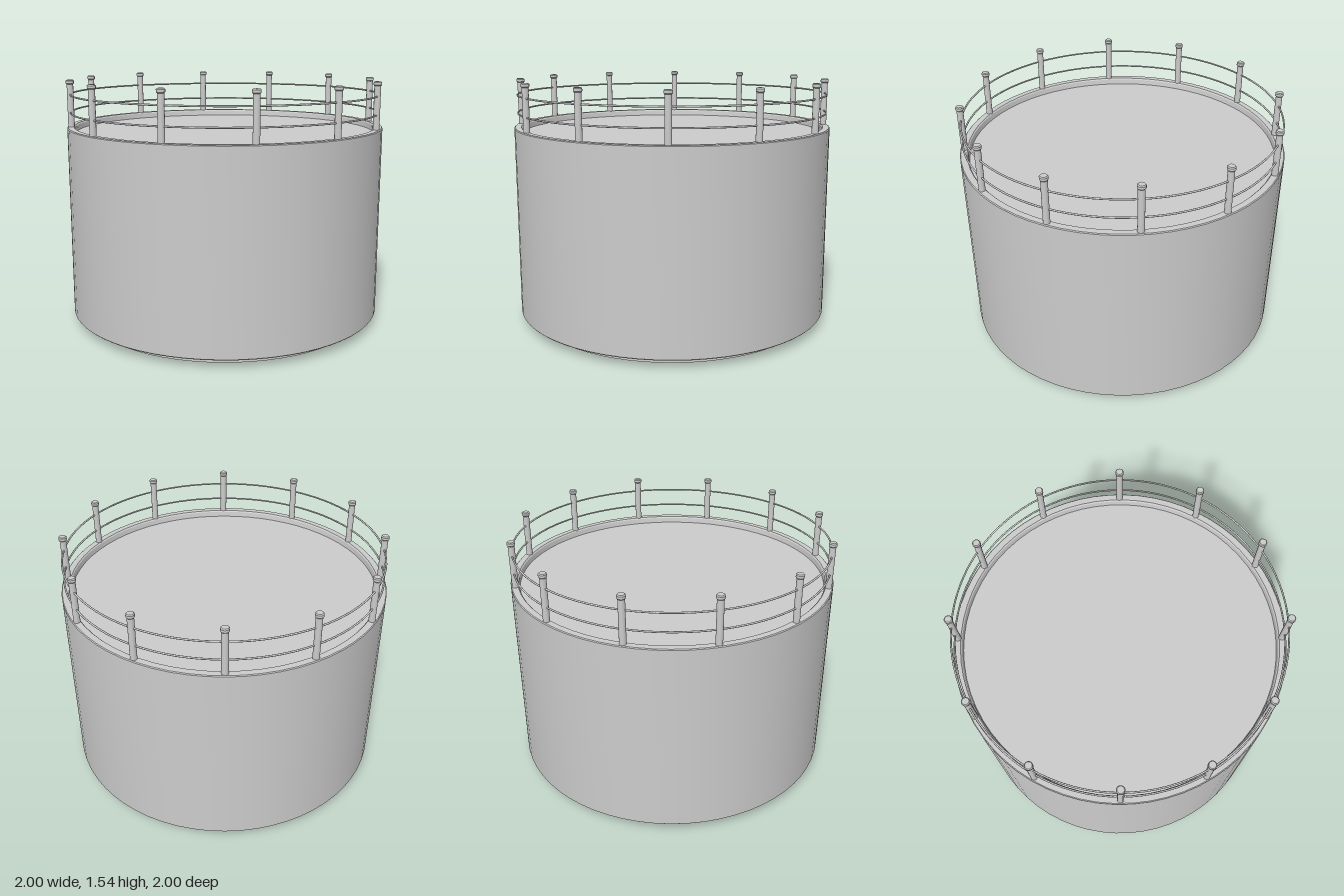
import * as THREE from 'three';
import { toCreasedNormals } from 'three/addons/utils/BufferGeometryUtils.js';

const POSTS = 12, RING = 0.973, RIM_Y = 1.25;

export function createModel() {
  const group = new THREE.Group();
  const material = new THREE.MeshStandardMaterial({ color: 0xcccccc });

  const add = (parent, name, geometry, x = 0, y = 0, z = 0) => {
    const mesh = new THREE.Mesh(geometry, material);
    mesh.name = name;
    mesh.position.set(x, y, z);
    parent.add(mesh);
    return mesh;
  };
  const lathe = (points, segments) => toCreasedNormals(
    new THREE.LatheGeometry(points.map(([r, y]) => new THREE.Vector2(r, y)), segments), 0.5);

  // Recessed plinth under the drum
  add(group, 'plinth', lathe([[0, 0], [0.907, 0], [0.907, 0.055]], 64));

  // Drum with softened edges, a raised rim and a sunken deck
  add(group, 'drum', lathe([
    [0.9, 0.052], [0.994, 0.052], [1, 0.058],
    [1, RIM_Y - 0.005], [0.995, RIM_Y],
    [0.957, RIM_Y], [0.95, RIM_Y - 0.008], [0.945, RIM_Y - 0.04],
    [0, RIM_Y - 0.04],
  ], 64));

  // Railing posts with rounded caps
  const postGeometry = new THREE.CylinderGeometry(0.02, 0.02, 0.275, 16);
  const capGeometry = lathe([
    [0, 0], [0.02, 0], [0.025, 0.006], [0.025, 0.021], [0.02, 0.027], [0, 0.027],
  ], 16);
  for (let i = 0; i < POSTS; i++) {
    const a = (i / POSTS) * Math.PI * 2;
    const post = new THREE.Group();
    post.name = 'railingPost';
    post.position.set(Math.sin(a) * RING, RIM_Y, Math.cos(a) * RING);
    add(post, 'postShaft', postGeometry, 0, 0.1325);
    add(post, 'postCap', capGeometry, 0, 0.263);
    group.add(post);
  }

  // Two thin rails running through the posts
  for (const [name, y] of [['lowerRail', 1.338], ['upperRail', 1.45]]) {
    const rail = add(group, name, new THREE.TorusGeometry(RING, 0.0055, 8, 96), 0, y, 0);
    rail.rotation.x = Math.PI / 2;
  }

  return group;
}
